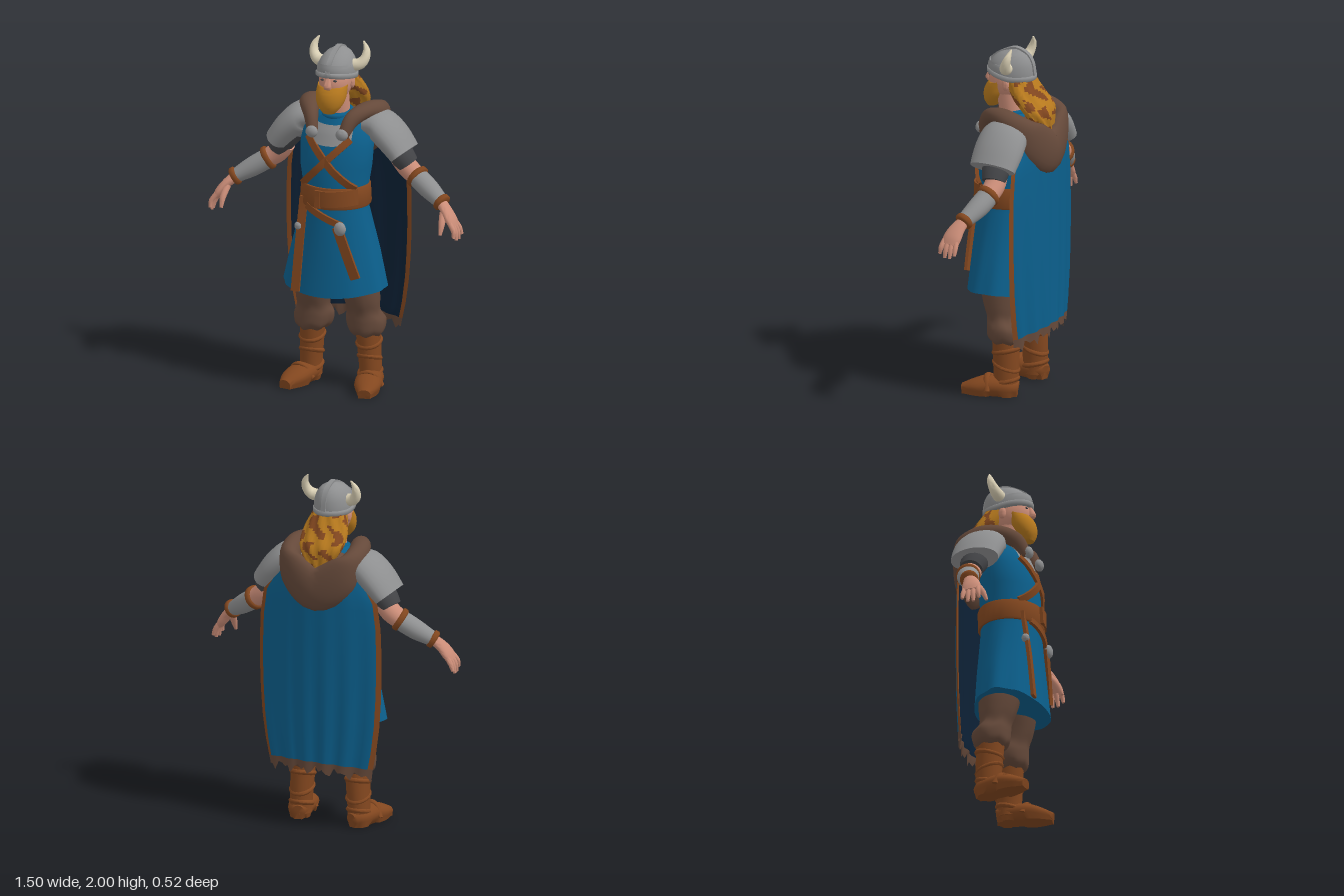
import * as THREE from 'three';
import { toCreasedNormals } from 'three/addons/utils/BufferGeometryUtils.js';

const mat = (name, color, side = THREE.FrontSide) => {
  const m = new THREE.MeshStandardMaterial({ color, side });
  m.name = name;
  return m;
};
const V = (a) => new THREE.Vector3(...a);
const UP = [0, 1, 0];

// Grid surface: i runs to the right and k upwards as seen from outside; pick gives a material index per cell
function surface(point, nu, nv, pick) {
  const pos = [], lists = [[], [], []];
  for (let k = 0; k <= nv; k++) for (let i = 0; i <= nu; i++) pos.push(...point(i, k));
  for (let k = 0; k < nv; k++) for (let i = 0; i < nu; i++) {
    const a = k * (nu + 1) + i, b = a + 1, c = a + nu + 1, d = c + 1;
    lists[pick ? pick(i, k) : 0].push(a, b, d, a, d, c);
  }
  const g = new THREE.BufferGeometry();
  g.setAttribute('position', new THREE.Float32BufferAttribute(pos, 3));
  g.setIndex(lists.flat());
  let start = 0;
  if (pick) lists.forEach((l, m) => { if (l.length) g.addGroup(start, l.length, m); start += l.length; });
  return toCreasedNormals(g, 1.0);
}

// Catmull-Rom refinement of section rows
function refine(rows, sub) {
  const out = [], at = (i) => rows[Math.max(0, Math.min(rows.length - 1, i))];
  for (let i = 0; i < rows.length - 1; i++) for (let s = 0; s < sub; s++) {
    const t = s / sub;
    out.push(rows[i].map((p1, c) => {
      const p0 = at(i - 1)[c], p2 = at(i + 1)[c], p3 = at(i + 2)[c];
      return p1 + 0.5 * t * (p2 - p0 + t * (2 * p0 - 5 * p1 + 4 * p2 - p3 + t * (3 * (p1 - p2) + p3 - p0)));
    }));
  }
  return [...out, at(rows.length - 1)];
}

// Closed loft through elliptical sections [x, y, z, ra, rb]; rb lies along ref, ra across it
function loft(rows, { seg = 20, sub = 4, axis, ref = [0, 0, 1], box = false, warp, pick } = {}) {
  const S = refine(rows, sub), n = S.length, k2 = box ? Math.SQRT2 : 1;
  if (box) seg = 4;
  const rings = S.map((s, i) => {
    const c = V(s.slice(0, 3));
    const t = axis ? V(axis) : V(S[Math.min(n - 1, i + 1)].slice(0, 3)).sub(V(S[Math.max(0, i - 1)].slice(0, 3))).normalize();
    const B = V(ref).addScaledVector(t, -V(ref).dot(t)).normalize(), A = B.clone().cross(t);
    return Array.from({ length: seg }, (_, j) => {
      const a = (j / seg) * Math.PI * 2 + (box ? Math.PI / 4 : 0);
      const p = c.clone().addScaledVector(A, s[3] * k2 * Math.cos(a)).addScaledVector(B, (s[4] ?? s[3]) * k2 * Math.sin(a));
      if (warp) warp(p, a, i / (n - 1));
      return p.toArray();
    });
  });
  const mean = (r) => [0, 1, 2].map((c) => r.reduce((q, p) => q + p[c], 0) / seg);
  const all = [Array(seg).fill(mean(rings[0])), ...rings, Array(seg).fill(mean(rings[n - 1]))];
  return surface((i, k) => all[k][i % seg], seg, n + 1, pick);
}

const ball = (x, y, z, rx, ry = rx, rz = rx) =>
  toCreasedNormals(new THREE.SphereGeometry(1, 16, 12).scale(rx, ry, rz).translate(x, y, z), 1);

function mirrored(geo) {
  const g = geo.clone().scale(-1, 1, 1);
  for (const key of ['position', 'normal']) {
    const a = g.attributes[key].array;
    for (let i = 0; i < a.length; i += 9) for (let c = 0; c < 3; c++)
      [a[i + 3 + c], a[i + 6 + c]] = [a[i + 6 + c], a[i + 3 + c]];
  }
  return g;
}

// Tunic sections and the height of its front surface
const TORSO = [[0, 0.57, 0.06, 0.3, 0.2], [0, 0.8, 0.055, 0.255, 0.185], [0, 1.05, 0.053, 0.19, 0.168],
  [0, 1.15, 0.05, 0.18, 0.165], [0, 1.3, 0.045, 0.205, 0.168], [0, 1.42, 0.03, 0.21, 0.155],
  [0, 1.5, 0.015, 0.195, 0.14], [0, 1.56, 0.01, 0.15, 0.11], [0, 1.6, 0.02, 0.085, 0.085]];
function frontZ(x, y) {
  let i = 0;
  while (i < TORSO.length - 2 && y > TORSO[i + 1][1]) i++;
  const [a, b] = [TORSO[i], TORSO[i + 1]], t = (y - a[1]) / (b[1] - a[1]);
  const s = a.map((q, c) => q + (b[c] - q) * t);
  return s[2] + s[4] * Math.sqrt(Math.max(0.05, 1 - (x / s[3]) ** 2));
}
// Leather strap lying on the tunic front
function strap(x0, y0, x1, y1, half, off = 0.008) {
  const rows = Array.from({ length: 11 }, (_, i) => {
    const x = x0 + (x1 - x0) * i / 10, y = y0 + (y1 - y0) * i / 10;
    return [x, y, frontZ(x, y) + off, half, 0.009];
  });
  return loft(rows, { sub: 1, box: true });
}

export function createModel() {
  const group = new THREE.Group();
  const blue = mat('blue cloth', 0x0b5f8c), navy = mat('dark blue lining', 0x0d2136);
  const steel = mat('steel', 0x8e8f90), dark = mat('dark sleeve', 0x434447);
  const leather = mat('leather', 0x83471f), fur = mat('brown wool', 0x65493a);
  const skin = mat('skin', 0xcb8d78), orange = mat('ginger hair', 0xb87a1e), bone = mat('horn', 0xd9cfb4);
  const steelPlate = mat('steel plate', 0x8e8f90, THREE.DoubleSide);
  const add = (name, geo, m) => { const o = new THREE.Mesh(geo, m); o.name = name; group.add(o); };
  const pair = (name, geo, m) => { add(name + 'Left', geo, m); add(name + 'Right', mirrored(geo), m); };

  // Tunic with a softly folded, curved hem
  add('tunic', loft(TORSO, { sub: 1, seg: 48, axis: UP, warp: (p, a, v) => {
    const w = Math.max(0, 1 - v * 4);
    p.x *= 1 + 0.025 * w * Math.cos(9 * a);
    p.y += w * 0.035 * (p.x / 0.3) ** 2;
  } }), blue);
  add('chestPlate', surface((i, k) => {
    const u = i / 12 * 2 - 1, x = u * 0.13, y = 1.43 + 0.02 * u * u + k / 6 * 0.11;
    return [x, y, frontZ(x, y) + 0.009];
  }, 12, 6), steelPlate);
  add('collar', toCreasedNormals(new THREE.TorusGeometry(0.075, 0.018, 8, 24).rotateX(Math.PI / 2 + 0.15).translate(0, 1.59, 0.03), 1), blue);

  // Belt, buckle and straps
  add('belt', loft([[0, 1.075, 0.053, 0.197, 0.18], [0, 1.085, 0.053, 0.202, 0.184], [0, 1.185, 0.05, 0.195, 0.182],
    [0, 1.195, 0.05, 0.19, 0.178]], { sub: 1, seg: 32, axis: UP }), leather);
  add('buckleStrap', strap(-0.03, 1.135, 0.165, 1.145, 0.045, 0.022), leather);
  add('buckleLoop', strap(-0.03, 1.085, -0.03, 1.185, 0.016, 0.03), leather);
  pair('chestStrap', strap(-0.155, 1.19, 0.125, 1.47, 0.02), leather);
  add('longStrap', strap(-0.165, 0.585, -0.14, 1.12, 0.025, 0.014), leather);
  add('scabbard', strap(0.185, 0.69, 0.08, 0.98, 0.028, 0.016), leather);
  add('hangingStrap', strap(-0.11, 1.08, 0.1, 0.99, 0.018, 0.014), leather);
  add('swordPommel', ball(0.1, 0.975, frontZ(0.1, 0.975) + 0.03, 0.035, 0.04, 0.025), steel);
  add('knifePommel', ball(-0.165, 0.95, frontZ(-0.165, 0.95) + 0.025, 0.025, 0.025, 0.022), steel);

  // Hood lying around the shoulders, with clasps
  const hoodSide = [[0.09, 1.49, 0.17, 0.03, 0.03], [0.12, 1.575, 0.12, 0.04, 0.045], [0.165, 1.61, 0.03, 0.055, 0.045],
    [0.195, 1.585, -0.07, 0.06, 0.065], [0.165, 1.5, -0.165, 0.06, 0.11]];
  add('hood', loft([...hoodSide, [0, 1.395, -0.205, 0.055, 0.125],
    ...hoodSide.slice().reverse().map(([x, ...r]) => [-x, ...r])], { ref: UP, sub: 6 }), fur);
  add('hoodLining', ball(0, 1.52, -0.07, 0.17, 0.07, 0.12), fur);
  pair('clasp', ball(0.09, 1.505, 0.185, 0.036, 0.034, 0.025), steel);

  // Cape with leather edges and ragged hem
  const NU = 28, NV = 24;
  const widths = [0.31, 0.34, 0.36, 0.37, 0.375, 0.375, 0.37, 0.35, 0.26];
  const cape = (i, k, inner) => {
    const u = 1 - 2 * i / NU, v = k / NV, q = v * 8, c = Math.min(7, Math.floor(q));
    const w = widths[c] + (widths[c + 1] - widths[c]) * (q - c);
    const rag = k === 0 ? 0.018 * Math.sin(i * 2.4) + 0.014 * Math.sin(i * 5.1) : 0;
    const edge = i === 0 || i === NU || k === 0 || k === NV;
    return [u * w, 0.345 - 0.02 * u * u + v * 1.155 + rag,
      -0.215 + 0.075 * u * u + 0.008 * Math.cos(u * 18) * (1 - v) + (inner && !edge ? 0.014 : 0)];
  };
  const trim = (i, k) => (k === 0 ? 2 : i === 0 || i === NU - 1 ? 1 : 0);
  add('cape', surface((i, k) => cape(i, k, false), NU, NV, trim), [blue, leather, fur]);
  add('capeLining', surface((i, k) => cape(NU - i, k, true), NU, NV, trim), [navy, leather, fur]);

  // Head, beard and hair
  add('neck', loft([[0, 1.55, 0.02, 0.07, 0.075], [0, 1.72, 0.05, 0.07, 0.08]], { axis: UP }), skin);
  add('head', ball(0, 1.775, 0.055, 0.09, 0.115, 0.115), skin);
  add('nose', loft([[0, 1.755, 0.168, 0.02, 0.018], [0, 1.775, 0.175, 0.022, 0.022], [0, 1.82, 0.16, 0.011, 0.012]], { seg: 12, axis: UP }), skin);
  pair('eye', ball(0.036, 1.803, 0.155, 0.013, 0.006, 0.006), dark);
  pair('ear', ball(0.09, 1.77, 0.03, 0.014, 0.035, 0.022), skin);
  add('beard', loft([[0, 1.615, 0.155, 0.035, 0.028], [0, 1.65, 0.145, 0.066, 0.052], [0, 1.69, 0.125, 0.084, 0.075],
    [0, 1.73, 0.112, 0.088, 0.077], [0, 1.762, 0.095, 0.086, 0.072]], { seg: 28, axis: UP, warp: (p) => { p.y += p.z < 0.12 ? (0.12 - p.z) * 0.3 : 0; } }), orange);
  add('hair', loft([[0, 1.48, -0.18, 0.025, 0.02], [0, 1.55, -0.16, 0.085, 0.05], [0, 1.63, -0.13, 0.13, 0.075],
    [0, 1.71, -0.07, 0.13, 0.08], [0, 1.8, -0.02, 0.095, 0.075]], { seg: 48, sub: 8, axis: UP,
    warp: (p, a) => p.z += 0.006 * Math.sin(a * 10 + p.y * 30),
    pick: (i, k) => (Math.sin(i * 0.8 + 2 * Math.sin(k * 0.5)) + Math.sin(k * 0.55 + i * 0.35) > 0.45 ? 1 : 0) }), [orange, leather]);

  // Helmet with rim, crest rib and horns
  const lift = (p) => { if (p.y < 1.87 && p.z > 0) p.y += p.z * 0.17; };
  add('helmet', loft([[0, 1.795, 0.035, 0.106, 0.137], [0, 1.84, 0.035, 0.107, 0.138], [0, 1.89, 0.028, 0.095, 0.122],
    [0, 1.93, 0.018, 0.068, 0.088], [0, 1.95, 0.01, 0.036, 0.046], [0, 1.963, 0.005, 0.006, 0.008]], { seg: 32, axis: UP, warp: lift }), steel);
  add('helmetRim', loft([[0, 1.79, 0.035, 0.108, 0.139], [0, 1.795, 0.035, 0.114, 0.145], [0, 1.815, 0.035, 0.114, 0.145],
    [0, 1.82, 0.035, 0.108, 0.139]], { sub: 1, seg: 32, axis: UP, warp: lift }), steel);
  add('helmetRib', loft([[0, 1.84, 0.172], [0, 1.9, 0.145], [0, 1.945, 0.07], [0, 1.963, 0.005], [0, 1.938, -0.06], [0, 1.89, -0.093], [0, 1.82, -0.105]]
    .map((r) => [...r, 0.007, 0.014]), { ref: [1, 0, 0], box: true }), steel);
  pair('horn', loft([[0.08, 1.865, 0.02, 0.034], [0.125, 1.873, 0.012, 0.033], [0.152, 1.905, -0.002, 0.027],
    [0.155, 1.95, -0.018, 0.019], [0.132, 1.995, -0.03, 0.004]].map((r) => [...r, r[3]]), { seg: 14 }), bone);

  // Arms
  pair('shoulderGuard', loft([[0.14, 1.53, -0.02, 0.06, 0.1], [0.22, 1.525, -0.035, 0.083, 0.135], [0.3, 1.46, -0.038, 0.083, 0.145],
    [0.375, 1.372, -0.035, 0.07, 0.137]], { seg: 24 }), steel);
  pair('sleeve', loft([[0.28, 1.44, -0.04, 0.07, 0.08], [0.35, 1.36, -0.045, 0.068, 0.08], [0.39, 1.305, -0.05, 0.06, 0.066]]), dark);
  pair('elbow', loft([[0.34, 1.34, -0.05, 0.055, 0.06], [0.39, 1.28, -0.055, 0.058, 0.06], [0.46, 1.23, -0.045, 0.052, 0.056]]), skin);
  pair('bracer', loft([[0.44, 1.243, -0.05, 0.056, 0.062], [0.53, 1.185, -0.02, 0.055, 0.06], [0.625, 1.127, 0.02, 0.038, 0.044]]), steel);
  const cuff = (x, y, z, r) => loft([[x - 0.014, y + 0.009, z - 0.005, r, r], [x - 0.008, y + 0.005, z - 0.003, r + 0.008, r + 0.008],
    [x + 0.008, y - 0.005, z + 0.003, r + 0.008, r + 0.008], [x + 0.014, y - 0.009, z + 0.005, r, r]], { sub: 1 });
  pair('elbowCuff', cuff(0.447, 1.24, -0.048, 0.06), leather);
  pair('wristCuff', cuff(0.618, 1.132, 0.016, 0.044), leather);

  // Hands
  pair('palm', loft([[0.615, 1.13, 0.018, 0.03, 0.034], [0.655, 1.095, 0.038, 0.027, 0.045], [0.69, 1.05, 0.052, 0.026, 0.054],
    [0.712, 1.015, 0.058, 0.018, 0.05]]), skin);
  for (let f = 0; f < 4; f++) {
    const s = f - 1.5, len = 1 - 0.1 * s * s;
    pair('finger' + (f + 1), loft([[0.698, 1.04, 0.057 + s * 0.025, 0.014], [0.725, 1.035 - 0.045 * len, 0.06 + s * 0.029, 0.014],
      [0.74 - 0.004 * f, 1.035 - 0.095 * len, 0.063 + s * 0.032, 0.009]].map((r) => [...r, r[3]]), { seg: 10 }), skin);
  }
  pair('thumb', loft([[0.645, 1.085, 0.06, 0.02, 0.02], [0.655, 1.03, 0.105, 0.018, 0.018], [0.655, 0.975, 0.13, 0.009, 0.009]], { seg: 10 }), skin);

  // Baggy trousers and boots
  pair('trouserLeg', loft([[0.165, 0.31, -0.01, 0.078, 0.083], [0.16, 0.34, -0.01, 0.104, 0.103], [0.155, 0.395, -0.01, 0.113, 0.108],
    [0.15, 0.45, 0.012, 0.094, 0.09], [0.145, 0.52, 0.022, 0.1, 0.105], [0.13, 0.62, 0.03, 0.11, 0.12], [0.11, 0.75, 0.04, 0.1, 0.115]],
  { seg: 24, axis: UP, warp: (p, a) => p.y += 0.007 * Math.sin(a * 6) }), fur);
  pair('bootShaft', loft([[0.178, 0.03, -0.02, 0.062, 0.068], [0.178, 0.1, -0.02, 0.062, 0.072], [0.173, 0.2, -0.018, 0.065, 0.076],
    [0.166, 0.34, -0.012, 0.07, 0.08]], { axis: UP }), leather);
  pair('bootFoot', loft([[0.165, 0.045, -0.088, 0.035, 0.038], [0.18, 0.052, -0.04, 0.065, 0.052], [0.2, 0.055, 0.06, 0.075, 0.056],
    [0.222, 0.043, 0.14, 0.07, 0.045], [0.238, 0.028, 0.218, 0.035, 0.024]], { ref: UP, warp: (p) => p.y = p.y < 0.022 ? 0 : p.y }), leather);
  [[0.085, 0.069], [0.17, 0.069], [0.26, 0.073]].forEach(([y, r], n) => {
    const x = 0.18 - y * 0.04;
    pair('bootBand' + (n + 1), loft([[x, y - 0.014, -0.018, r - 0.006, r + 0.004], [x, y, -0.018, r + 0.003, r + 0.013], [x, y + 0.014, -0.018, r - 0.006, r + 0.004]],
      { sub: 2, axis: UP, warp: (p) => p.y += (p.z + 0.018) * (n % 2 ? 0.3 : -0.25) }), leather);
  });
  // The fold of the ankle wrap across the instep
  pair('instepStrap', loft([[0.13, 0.035, 0.07], [0.16, 0.092, 0.078], [0.205, 0.112, 0.08], [0.25, 0.092, 0.066], [0.278, 0.035, 0.05]]
    .map((r) => [...r, 0.01, 0.018]), { seg: 10 }), leather);
  return group;
}
